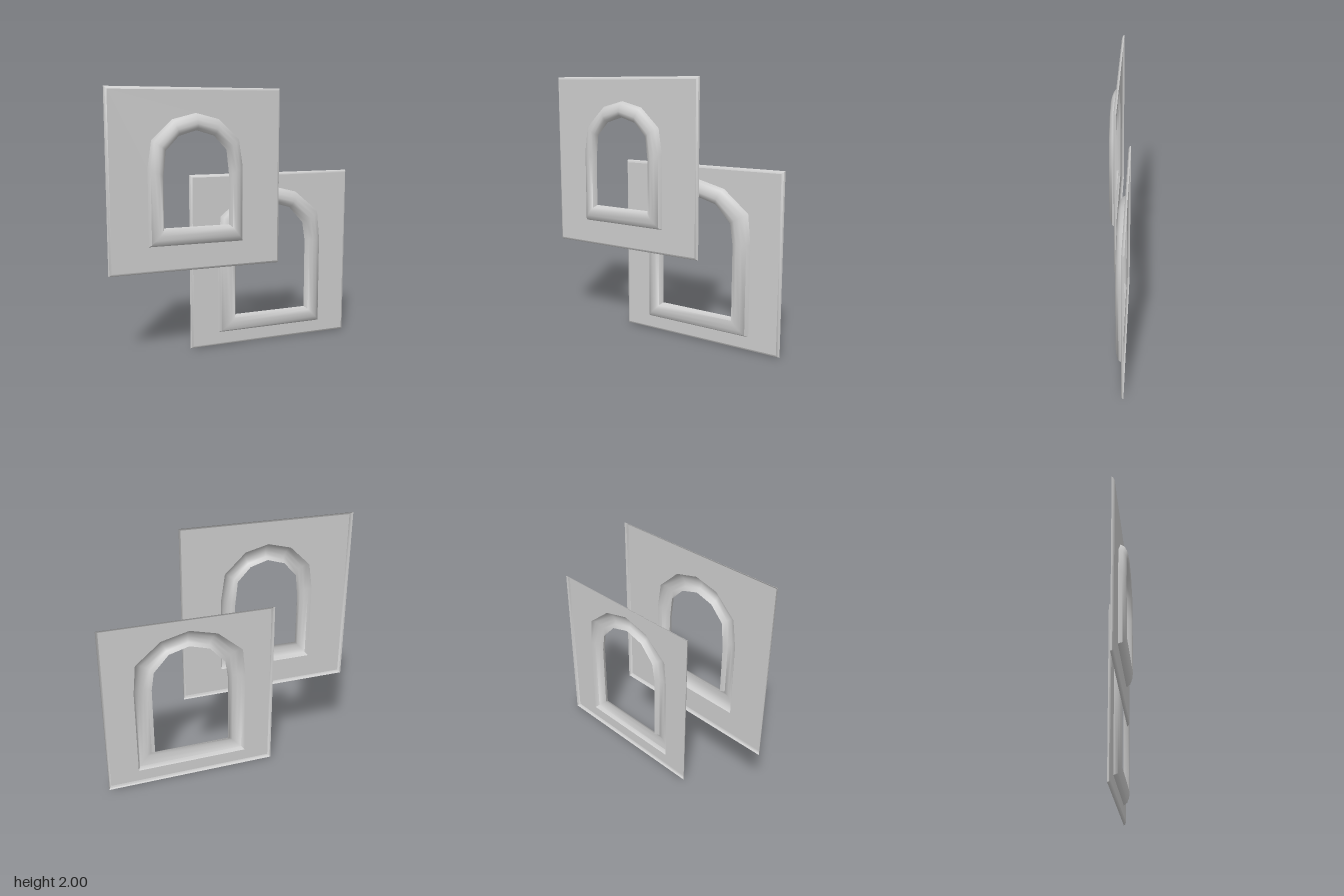
import * as THREE from 'three';
import { toCreasedNormals } from 'three/addons/utils/BufferGeometryUtils.js';

const material = new THREE.MeshStandardMaterial({ color: 0xcccccc, side: THREE.DoubleSide });

// Sheet joining equal-sized closed loops of [x, y, z], outermost loop first
function loft(loops) {
  const n = loops[0].length;
  const index = [];
  for (let r = 0; r < loops.length - 1; r++) {
    for (let i = 0; i < n; i++) {
      const a = r * n + i, b = r * n + (i + 1) % n;
      index.push(a, b, b + n, a, b + n, a + n);
    }
  }
  const geometry = new THREE.BufferGeometry();
  geometry.setAttribute('position', new THREE.Float32BufferAttribute(loops.flat(2), 3));
  geometry.setIndex(index);
  return toCreasedNormals(geometry, 1.15);
}

// Counter-clockwise arch outline from its right half (sill corner up to crown)
function arch(cx, half) {
  const right = half.map(([w, y]) => [cx + w, y]);
  const left = half.slice(0, -1).reverse().map(([w, y]) => [cx - w, y]);
  return [...right, ...left];
}

const rect = (x0, x1, y0, y1, inset) => [
  [x0 + inset, y0 + inset], [x1 - inset, y0 + inset],
  [x1 - inset, y1 - inset], [x0 + inset, y1 - inset],
];
const toPath = (points, Type) => new Type(points.map(([x, y]) => new THREE.Vector2(x, y)));
const atDepth = (points, z) => points.map(([x, y]) => [x, y, z]);

// Rolled moulding section: [fraction from outer edge to opening, depth]
const section = [[0, 0.02], [0.13, 0.05], [0.36, 0.067], [0.62, 0.075], [0.86, 0.066], [1, 0.03]];

function panel({ name, x0, x1, y0, y1, z, cx, outer, inner }) {
  const group = new THREE.Group();
  group.name = name;
  group.position.z = z;
  const add = (part, geometry) => {
    const mesh = new THREE.Mesh(geometry, material);
    mesh.name = part;
    group.add(mesh);
  };
  const out = arch(cx, outer), open = arch(cx, inner);

  // Flat wall with an arched cutout
  const shape = toPath(rect(x0, x1, y0, y1, 0.02), THREE.Shape);
  shape.holes.push(toPath(out, THREE.Path));
  add('wallPlate', new THREE.ShapeGeometry(shape).translate(0, 0, 0.02));

  // Bevelled border
  add('bevelledEdge', loft([
    atDepth(rect(x0, x1, y0, y1, 0), 0),
    atDepth(rect(x0, x1, y0, y1, 0.006), 0.012),
    atDepth(rect(x0, x1, y0, y1, 0.02), 0.02),
  ]));

  // Raised moulding, hollow behind
  add('windowFrame', loft(section.map(([t, d]) => out.map(([x, y], i) => [
    x + (open[i][0] - x) * t, y + (open[i][1] - y) * t, d,
  ]))));
  return group;
}

export function createModel() {
  const model = new THREE.Group();
  model.name = 'archedWindowPanels';
  model.add(panel({
    name: 'upperFrontPanel', x0: -1, x1: 0.355, y0: 0.645, y1: 2, z: 0, cx: -0.33,
    outer: [[0.37, 0.845], [0.37, 1.42], [0.34, 1.62], [0.18, 1.77], [0, 1.815]],
    inner: [[0.255, 0.98], [0.255, 1.36], [0.235, 1.545], [0.135, 1.65], [0, 1.69]],
  }));
  model.add(panel({
    name: 'lowerBackPanel', x0: -0.355, x1: 1, y0: 0, y1: 1.355, z: -0.08, cx: 0.3125,
    outer: [[0.443, 0.11], [0.443, 0.8], [0.42, 1.03], [0.22, 1.195], [0, 1.25]],
    inner: [[0.303, 0.245], [0.303, 0.8], [0.28, 0.945], [0.16, 1.075], [0, 1.12]],
  }));
  return model;
}
